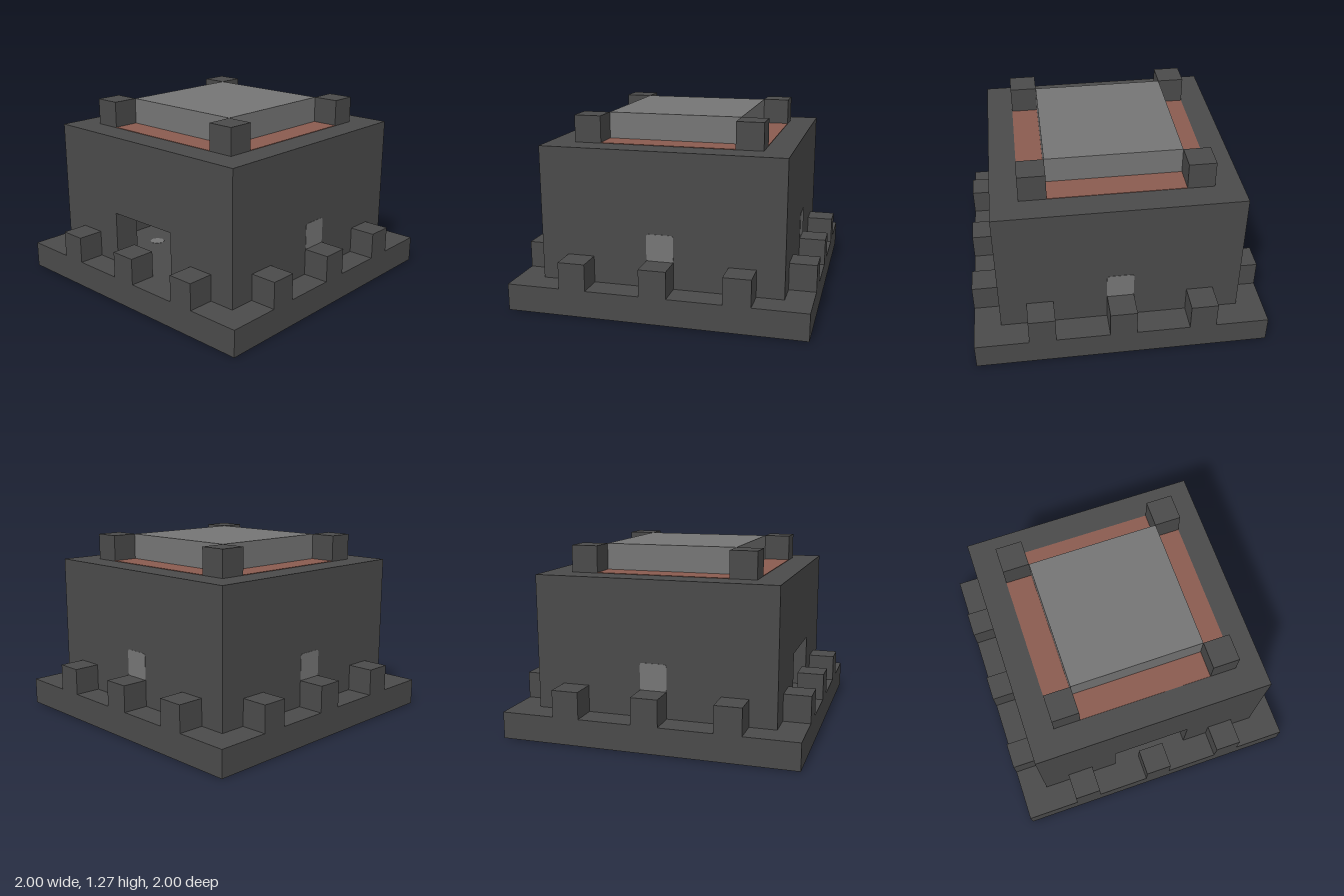
import * as THREE from 'three';

const U = 2 / 11; // one block

export function createModel() {
  const model = new THREE.Group();
  model.name = 'fort';
  const mat = (name, color) => Object.assign(new THREE.MeshStandardMaterial({ color }), { name });
  const stone = mat('dark stone', 0x4a4a4a);
  const light = mat('light grey', 0x757575);
  const brick = mat('brick red', 0x8a5c50);

  const add = (name, geo, material, x, y, z, parent = model) => {
    const m = new THREE.Mesh(geo, material);
    m.name = name;
    m.position.set(x * U, y * U, z * U);
    parent.add(m);
    return m;
  };
  // box measured in blocks; y is its underside
  const box = (name, w, h, d, material, x, y, z, parent) =>
    add(name, new THREE.BoxGeometry(w * U, h * U, d * U), material, x, y + h / 2, z, parent);

  // base slab and hollow keep
  box('base', 11, 1, 11, stone, 0, 0, 0);
  box('backWall', 9, 4, 1, stone, 0, 1, -4);
  for (const s of [-1, 1]) {
    box('sideWall', 1, 4, 7, stone, s * 4, 1, 0);
    box('frontWall', 3, 4, 1, stone, s * 3, 1, 4);
  }
  box('doorLintel', 3, 2, 1, stone, 0, 3, 4);
  box('roof', 9, 1, 9, stone, 0, 5, 0);

  // raised roof block with corner posts and brick walkways between them
  box('roofBlock', 5, 1, 5, light, 0, 6, 0);
  for (const x of [-3, 3]) for (const z of [-3, 3]) box('cornerPost', 1, 1, 1, stone, x, 6, z);

  // rounded window pane
  const pane = new THREE.Shape();
  const h = 0.5 * U, r = 0.1 * U;
  pane.moveTo(-h + r, -h);
  pane.lineTo(h - r, -h).quadraticCurveTo(h, -h, h, -h + r);
  pane.lineTo(h, h - r).quadraticCurveTo(h, h, h - r, h);
  pane.lineTo(-h + r, h).quadraticCurveTo(-h, h, -h, h - r);
  pane.lineTo(-h, -h + r).quadraticCurveTo(-h, -h, -h + r, -h);
  const paneGeo = new THREE.ExtrudeGeometry(pane, { depth: 0.004, bevelEnabled: false, curveSegments: 3 });

  // four sides: battlements, walkways and windows (the front has the door)
  for (let i = 0; i < 4; i++) {
    const side = new THREE.Group();
    side.name = 'side';
    side.rotation.y = i * Math.PI / 2;
    model.add(side);
    for (const x of [-3, 0, 3]) box('battlement', 1, 1, 1, stone, x, 1, 5, side);
    box('walkway', 5, 0.02, 1, brick, 0, 6, 3, side);
    if (i === 0) continue;
    add('windowOutside', paneGeo, light, 0, 2.5, 4.49, side);
    add('windowInside', paneGeo, light, 0, 2.5, 3.488, side);
  }

  // floor lights along both diagonals, showing above and below the slab
  const disc = new THREE.CylinderGeometry(0.29 * U, 0.29 * U, 0.004, 8);
  for (let i = -3; i <= 3; i++) {
    for (const s of i ? [-1, 1] : [1]) {
      add('floorLight', disc, light, i, 1, i * s);
      add('undersideLight', disc, light, i, 0, i * s);
    }
  }
  return model;
}
